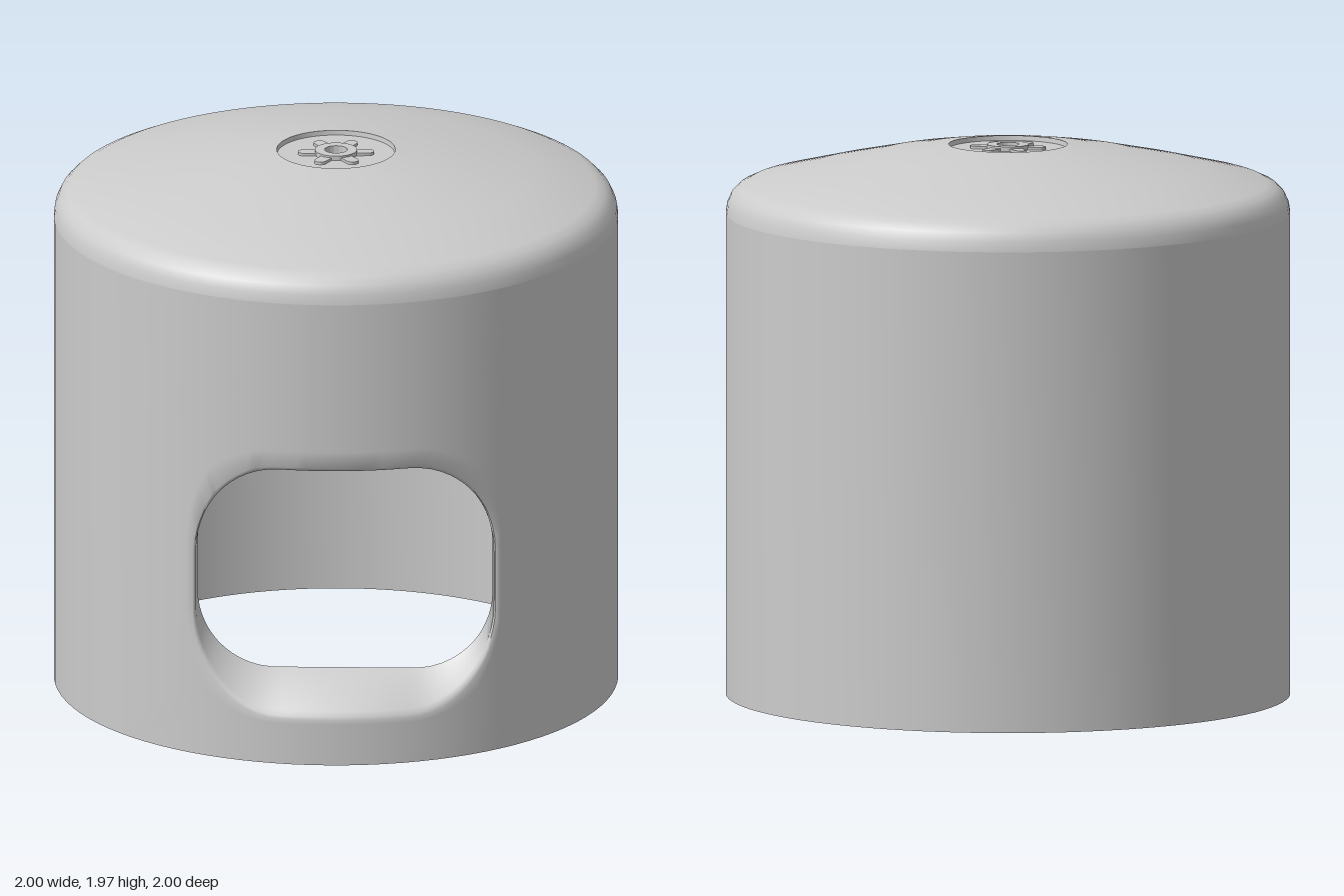
import * as THREE from 'three';
import { toCreasedNormals } from 'three/addons/utils/BufferGeometryUtils.js';

const R = 1, RI = 0.955, TOP = 1.72; // outer and inner wall radius, wall height
const EDGE = Math.PI / 4;            // half angle of the wall panel holding the window
const N = 24;                        // points per side of the window loops

const material = new THREE.MeshStandardMaterial({ color: 0xcccccc, side: THREE.DoubleSide });

function addMesh(parent, name, geometry, crease = 0.6) {
  const mesh = new THREE.Mesh(toCreasedNormals(geometry, crease), material);
  mesh.name = name;
  parent.add(mesh);
  return mesh;
}

function lathe(points, start = 0, length = Math.PI * 2, segments = 4 * N) {
  return new THREE.LatheGeometry(points.map(p => new THREE.Vector2(...p)), segments, start, length);
}

// Square loop, counter-clockwise seen from the front
const square = [];
for (let side = 0; side < 4; side++) {
  for (let i = 0; i < N; i++) {
    let u = 1, v = -1 + 2 * i / N;
    for (let k = 0; k < side; k++) [u, v] = [-v, u];
    square.push([u, v]);
  }
}

// Rounded rectangle with elliptical corners, matching the square loop point for point
function roundedLoop(x0, x1, y0, y1, rx, ry) {
  const cx = (x0 + x1) / 2, cy = (y0 + y1) / 2;
  const hw = (x1 - x0) / 2 / rx, hh = (y1 - y0) / 2 / ry;
  return square.map(([u, v]) => {
    const qx = u * hw, qy = v * hh;
    const kx = THREE.MathUtils.clamp(qx, 1 - hw, hw - 1);
    const ky = THREE.MathUtils.clamp(qy, 1 - hh, hh - 1);
    const len = Math.hypot(qx - kx, qy - ky);
    return [cx + (kx + (qx - kx) / len) * rx, cy + (ky + (qy - ky) / len) * ry];
  });
}

// Loop wrapped onto a cylinder
function wrap(loop, radius) {
  return loop.map(([x, y]) => [x, y, Math.sqrt(radius * radius - x * x)]);
}

// Rings on a cylinder, blending from the panel border to the window loop
function panelRings(loop, radius, steps = 10) {
  const rings = [];
  for (let s = 0; s <= steps; s++) {
    const t = s / steps;
    rings.push(square.map(([u, v], k) => {
      const angle = THREE.MathUtils.lerp(u * EDGE, Math.asin(loop[k][0] / radius), t);
      const y = THREE.MathUtils.lerp((v + 1) / 2 * TOP, loop[k][1], t);
      return [radius * Math.sin(angle), y, radius * Math.cos(angle)];
    }));
  }
  return rings;
}

function loft(rings) {
  const n = rings[0].length, index = [];
  for (let r = 0; r < rings.length - 1; r++) {
    for (let k = 0; k < n; k++) {
      const a = r * n + k, b = r * n + (k + 1) % n;
      index.push(a, b, b + n, a, b + n, a + n);
    }
  }
  const geometry = new THREE.BufferGeometry();
  geometry.setAttribute('position', new THREE.Float32BufferAttribute(rings.flat(2), 3));
  geometry.setIndex(index);
  return geometry;
}

export function createModel() {
  const model = new THREE.Group();
  model.name = 'cover';

  // Front panel: outer skin with softened window edge, tapered frame, inner skin
  const outerLoop = roundedLoop(-0.485, 0.592, 0.168, 1.108, 0.3, 0.36);
  const softLoop = roundedLoop(-0.48, 0.586, 0.178, 1.102, 0.3, 0.36);
  const bevelLoop = roundedLoop(-0.475, 0.581, 0.195, 1.095, 0.3, 0.35);
  const frameLoop = roundedLoop(-0.47, 0.575, 0.3, 1.06, 0.28, 0.29);
  const innerLoop = roundedLoop(-0.48, 0.585, 0.19, 1.095, 0.3, 0.36);
  const frame = frameLoop.map(([x, y]) => [x, y, 0.8]);
  const inner = panelRings(innerLoop, RI).reverse();
  addMesh(model, 'frontPanelOuter', loft([
    ...panelRings(outerLoop, R), wrap(softLoop, 0.996), wrap(bevelLoop, 0.985), frame,
  ]), 0.9);
  addMesh(model, 'windowFrameBack', loft([frame, inner[0]]));
  addMesh(model, 'frontPanelInner', loft(inner));

  // Remaining wall and the flat bottom rim
  const sweep = Math.PI * 2 - 2 * EDGE;
  addMesh(model, 'wallOuter', lathe([[R, 0], [R, TOP]], EDGE, sweep, 3 * N));
  addMesh(model, 'wallInner', lathe([[RI, TOP], [RI, 0]], EDGE, sweep, 3 * N));
  addMesh(model, 'bottomRim', new THREE.RingGeometry(RI, R, 4 * N).rotateX(Math.PI / 2));

  // Domed roof with rounded shoulder, shallow recess, centre hole and flat ceiling
  addMesh(model, 'roof', lathe([
    [R, TOP], [0.995, 1.755], [0.98, 1.787], [0.955, 1.812], [0.92, 1.828],
    [0.7, 1.88], [0.47, 1.928], [0.33, 1.95], [0.21, 1.965],
    [0.208, 1.948], [0.04, 1.948], [0.04, 1.77], [RI, 1.77], [RI, TOP],
  ]), 0.5);

  // Raised hub in the recess with six rounded spokes
  const hub = new THREE.Group();
  hub.name = 'hub';
  hub.position.y = 1.946;
  model.add(hub);
  addMesh(hub, 'hubRing', lathe([[0.075, 0], [0.075, 0.019], [0.04, 0.019], [0.04, 0]]));
  const spoke = new THREE.Shape();
  spoke.moveTo(0.07, -0.022);
  spoke.lineTo(0.113, -0.022);
  spoke.absarc(0.113, 0, 0.022, -Math.PI / 2, Math.PI / 2);
  spoke.lineTo(0.07, 0.022);
  for (let i = 0; i < 6; i++) {
    const geometry = new THREE.ExtrudeGeometry(spoke, { depth: 0.012, bevelEnabled: false, curveSegments: 8 });
    addMesh(hub, 'spoke', geometry.rotateX(-Math.PI / 2)).rotation.y = i * Math.PI / 3 + 0.04;
  }
  return model;
}
